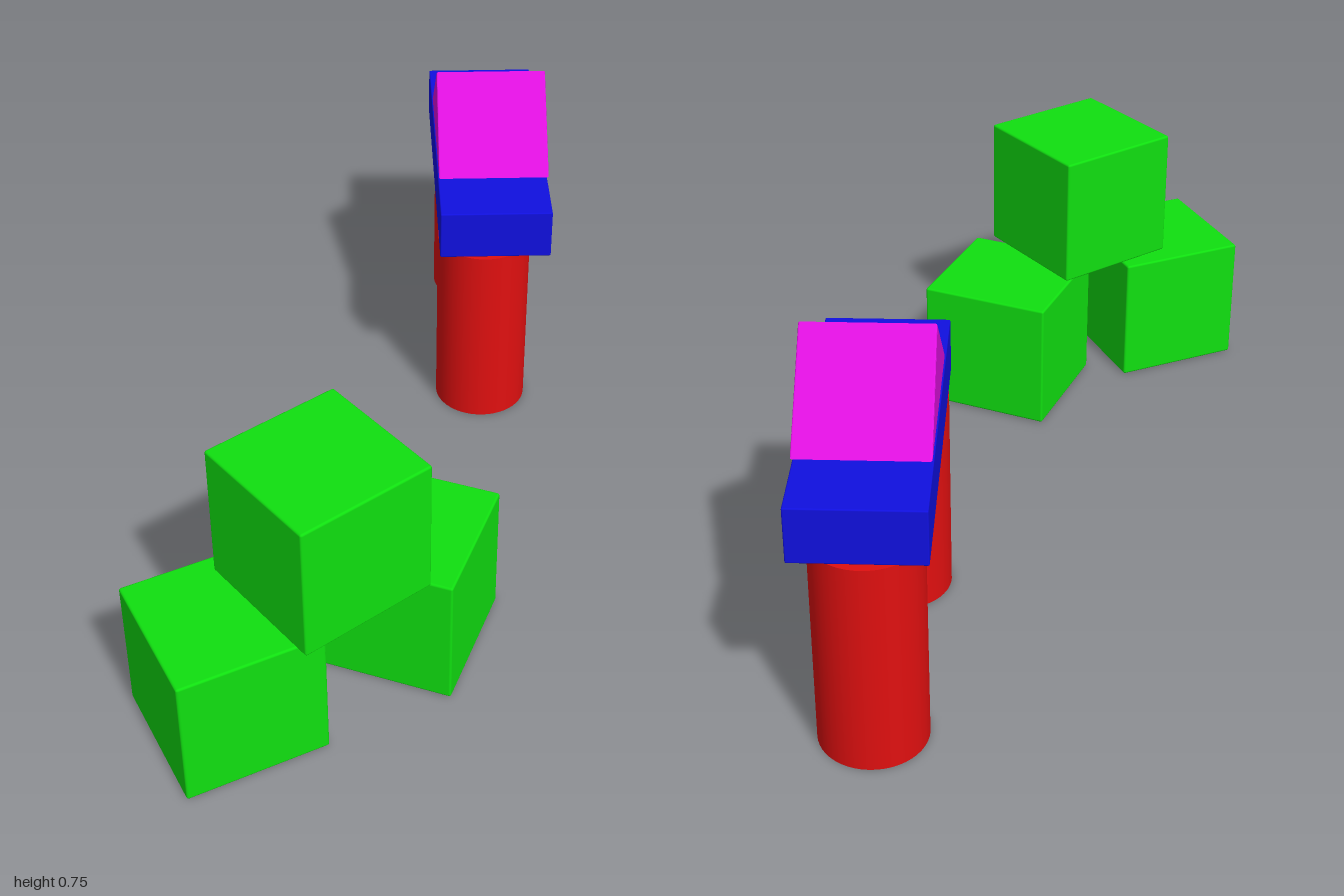
import * as THREE from 'three';
import { RoundedBoxGeometry } from 'three/addons/geometries/RoundedBoxGeometry.js';

const rad = THREE.MathUtils.degToRad;
const paint = (color) => new THREE.MeshStandardMaterial({ color });

function addPart(parent, name, geometry, material, x, y, z, turn = 0) {
  const mesh = new THREE.Mesh(geometry, material);
  mesh.name = name;
  mesh.position.set(x, y, z);
  mesh.rotation.y = rad(turn);
  parent.add(mesh);
  return mesh;
}

// Triangular prism standing on y = 0, ridge along x, with slightly eased edges
function prismGeometry(width, height, depth, bevel) {
  const shape = new THREE.Shape();
  shape.moveTo(-depth / 2, 0);
  shape.lineTo(depth / 2, 0);
  shape.lineTo(0, height);
  shape.closePath();
  const geometry = new THREE.ExtrudeGeometry(shape, {
    depth: width - 2 * bevel,
    bevelThickness: bevel,
    bevelSize: bevel,
    bevelOffset: -bevel,
    bevelSegments: 2,
  });
  geometry.translate(0, 0, bevel - width / 2);
  geometry.rotateY(Math.PI / 2);
  return geometry;
}

export function createModel() {
  const model = new THREE.Group();
  model.name = 'toyBlocks';
  const green = paint(0x10e010);
  const red = paint(0xe01010);
  const blue = paint(0x1010e0);
  const magenta = paint(0xe010e0);

  // Three stacked cubes
  const stack = new THREE.Group();
  stack.name = 'cubeStack';
  model.add(stack);
  const cube = new RoundedBoxGeometry(0.302, 0.302, 0.302, 2, 0.005);
  addPart(stack, 'rightCube', cube, green, -0.094, 0.154, 0.789, -43);
  addPart(stack, 'leftCube', cube, green, 0.152, 0.154, 0.431, 0);
  addPart(stack, 'topCube', cube, green, 0.055, 0.462, 0.641, -31);

  // Gateway: two pillars, a beam and a roof block
  const gate = new THREE.Group();
  gate.name = 'gateway';
  model.add(gate);
  const pillar = new THREE.CylinderGeometry(0.107, 0.107, 0.452, 48);
  addPart(gate, 'backPillar', pillar, red, -0.123, 0.229, -0.863);
  addPart(gate, 'frontPillar', pillar, red, 0.04, 0.229, -0.411);
  const beam = new RoundedBoxGeometry(0.252, 0.115, 0.676, 2, 0.003);
  addPart(gate, 'beam', beam, blue, -0.028, 0.516, -0.639, 21.5);
  const roof = prismGeometry(0.253, 0.174, 0.378, 0.003);
  addPart(gate, 'roofBlock', roof, magenta, -0.025, 0.576, -0.64, 21.5);

  return model;
}
